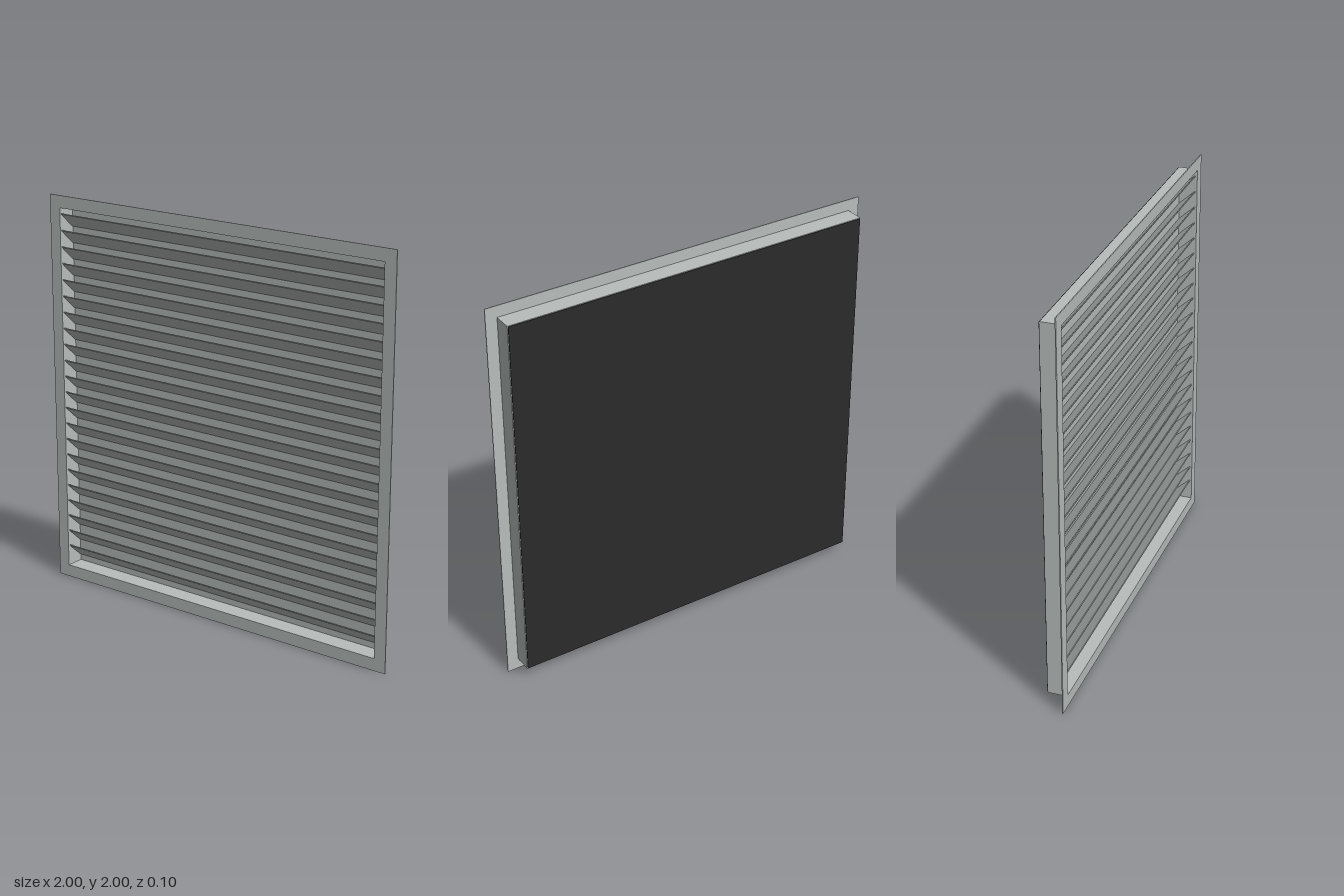
import * as THREE from 'three';

const OUTER = 2, DUCT = 1.886, WALL = 0.005, DEPTH = 0.1;
const BLADES = 22, PITCH = 1.82 / BLADES;

// Square ring, centred on the origin, extruded along +z
function squareRing(size, hole, depth) {
  const square = (Type, s) => {
    const h = s / 2;
    return new Type([[-h, -h], [h, -h], [h, h], [-h, h]].map(([x, y]) => new THREE.Vector2(x, y)));
  };
  const shape = square(THREE.Shape, size);
  shape.holes.push(square(THREE.Path, hole));
  return new THREE.ExtrudeGeometry(shape, { depth, bevelEnabled: false });
}

export function createModel() {
  const metal = new THREE.MeshStandardMaterial({ color: 0xb8bebc });
  metal.name = 'pale grey metal';
  const dark = new THREE.MeshStandardMaterial({ color: 0x2b2b2b });
  dark.name = 'dark backing';

  const group = new THREE.Group();
  group.name = 'louvreGrille';
  const add = (name, geometry, material, y, z) => {
    const mesh = new THREE.Mesh(geometry, material);
    mesh.name = name;
    mesh.position.set(0, y, z);
    group.add(mesh);
    return mesh;
  };

  // Thin front flange and the duct walls behind it
  add('flange', squareRing(OUTER, DUCT - 2 * WALL, 0.005), metal, 1, 0.045);
  add('ductWalls', squareRing(DUCT, DUCT - 2 * WALL, DEPTH - 0.009), metal, 1, -0.046);

  // Pale inner panel with a dark sheet on its back
  const inner = DUCT - 2 * WALL;
  add('innerPanel', new THREE.BoxGeometry(inner, inner, 0.003), metal, 1, -0.0445);
  add('backSheet', new THREE.BoxGeometry(DUCT - 0.006, DUCT - 0.006, 0.004), dark, 1, -0.048);

  // Slanted blades: high at the front, low at the back
  const profile = new THREE.Shape([
    [0.041, 0.036], [0.041, 0.04], [0.037, 0.04], [-0.042, -0.032], [-0.042, -0.036], [-0.038, -0.036],
  ].map(([z, y]) => new THREE.Vector2(-z, y)));
  const blade = new THREE.ExtrudeGeometry(profile, { depth: inner, bevelEnabled: false });
  blade.translate(0, 0, -inner / 2).rotateY(Math.PI / 2);
  for (let i = 0; i < BLADES; i++) {
    add('blade', blade, metal, 0.09 + PITCH * (i + 0.5), 0);
  }
  return group;
}
